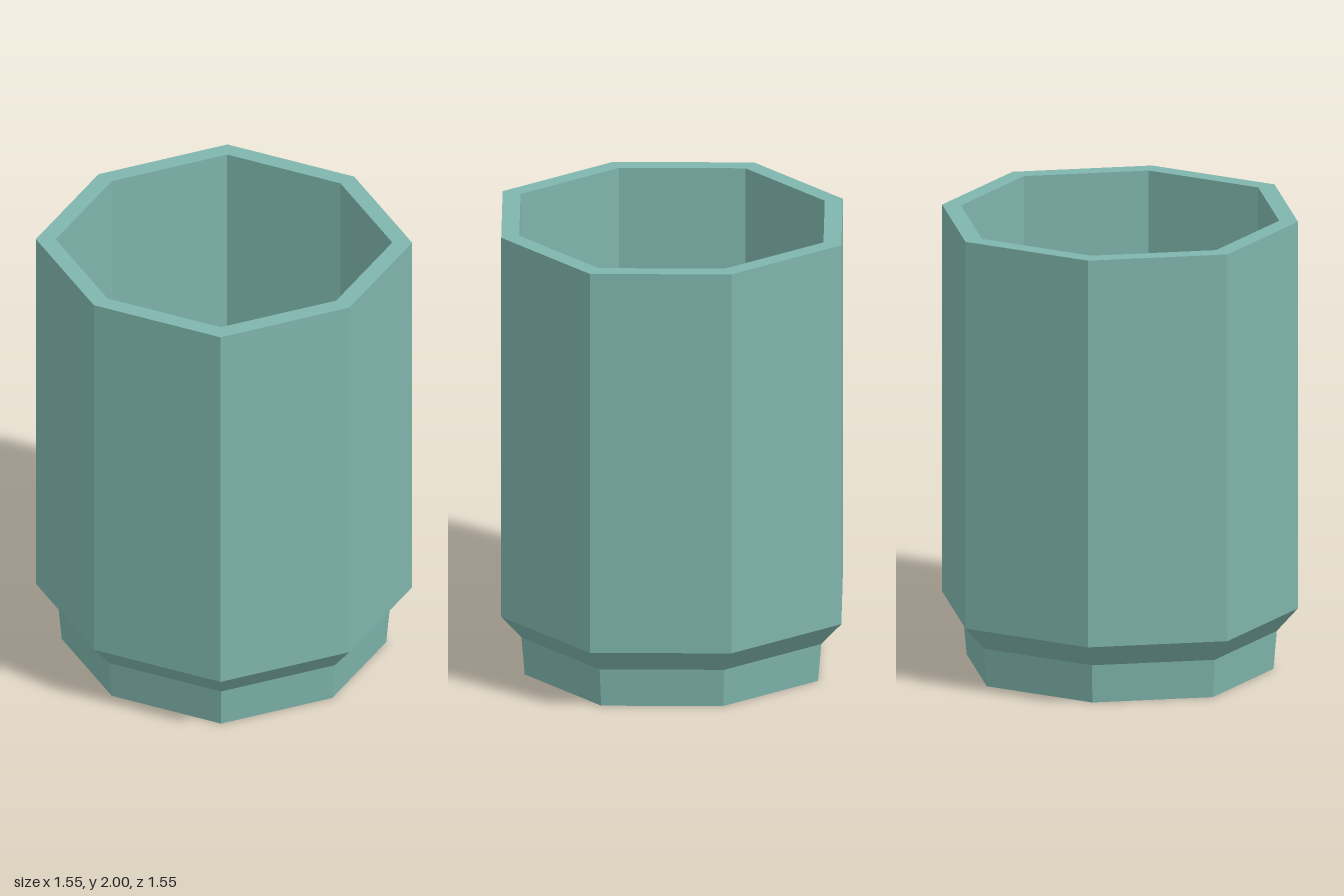
import * as THREE from 'three';

export function createModel() {
  const group = new THREE.Group();
  group.name = 'planterPot';

  const glaze = new THREE.MeshStandardMaterial({ color: 0x7fb5ad, flatShading: true });
  glaze.name = 'sage green glaze';

  // Closed wall profile: underside, foot, flare, outer wall, rim, inner wall, floor
  const profile = [
    [0, 0], [0.67, 0], [0.685, 0.17], [0.777, 0.275], [0.777, 2],
    [0.695, 2], [0.695, 0.29], [0.603, 0.185], [0, 0.185],
  ].map(([r, y]) => new THREE.Vector2(r, y));

  const geometry = new THREE.LatheGeometry(profile, 8);

  // The diagonal corners sit slightly further out than the ones on the axes
  const p = geometry.attributes.position;
  for (let i = 0; i < p.count; i++) {
    const x = p.getX(i), z = p.getZ(i);
    if (Math.abs(x * z) > 0.01) p.setXYZ(i, x * 1.041, p.getY(i), z * 1.041);
  }
  geometry.computeVertexNormals();

  const pot = new THREE.Mesh(geometry, glaze);
  pot.name = 'pot';
  group.add(pot);
  return group;
}
